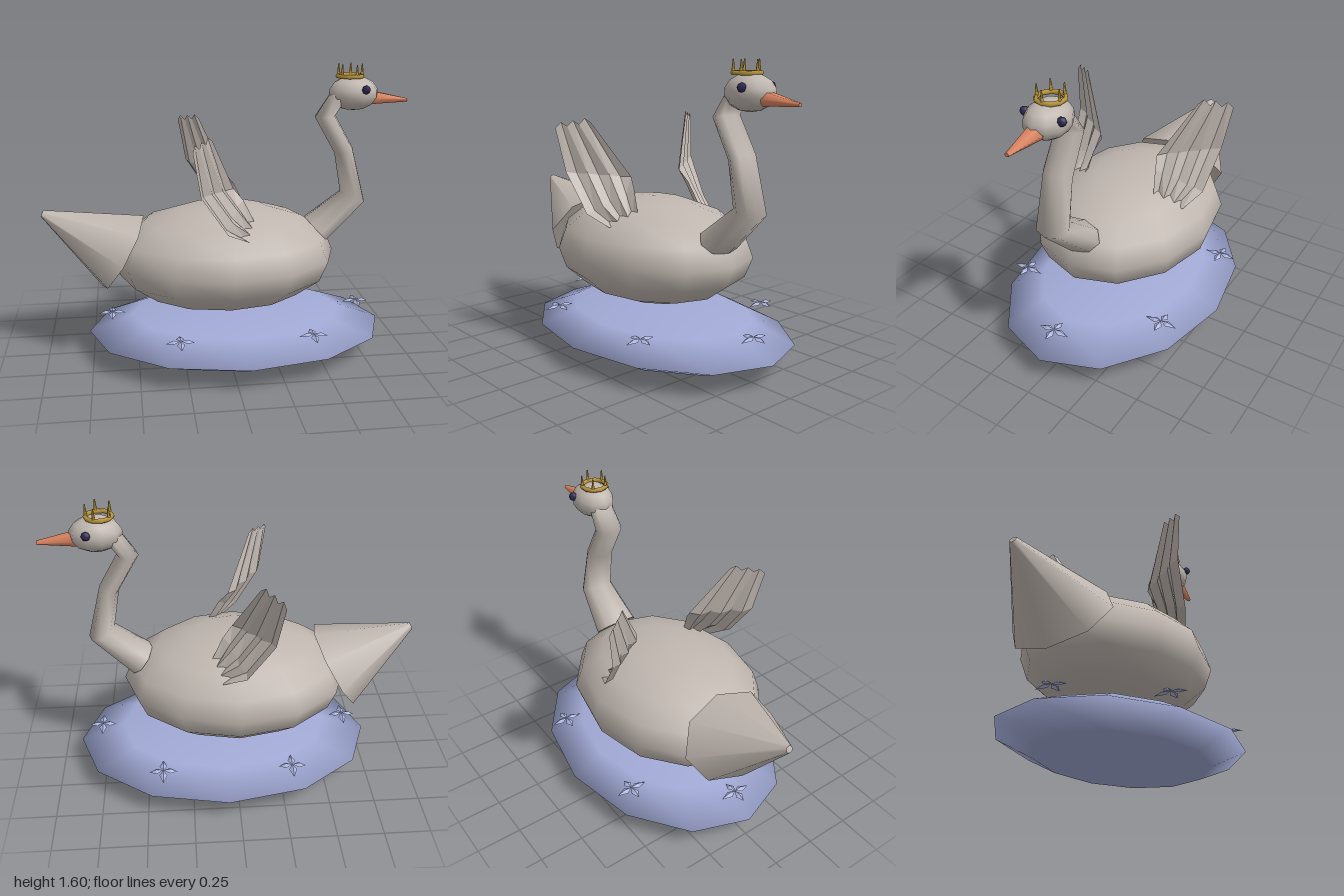
import * as THREE from 'three';

const mat = (name, color, side = THREE.FrontSide) => {
  const m = new THREE.MeshStandardMaterial({ color, side });
  m.name = name;
  return m;
};

// Builds a geometry from points and triangle indices
function fromPoints(points, index, flat = false) {
  let g = new THREE.BufferGeometry();
  g.setAttribute('position', new THREE.Float32BufferAttribute(points.flat(), 3));
  g.setIndex(index);
  if (flat) g = g.toNonIndexed();
  g.computeVertexNormals();
  return g;
}

// Capped loft; each section is [left x, left y, right x, right y, half depth],
// left and right as seen along the direction of travel
function loft(sections, n, phase = 0) {
  const pts = [], idx = [];
  const ring = ([px, py, qx, qy, r]) => {
    for (let j = 0; j < n; j++) {
      const a = phase + (j / n) * Math.PI * 2, c = Math.cos(a) / 2;
      pts.push([(px + qx) / 2 + (px - qx) * c, (py + qy) / 2 + (py - qy) * c, r * Math.sin(a)]);
    }
  };
  sections.forEach(ring);
  for (let i = 0; i < sections.length - 1; i++) {
    for (let j = 0; j < n; j++) {
      const a = i * n + j, b = i * n + (j + 1) % n;
      idx.push(a, b, a + n, b, b + n, a + n);
    }
  }
  // End caps with their own corners for crisp rims
  [sections[0], sections[sections.length - 1]].forEach((s, end) => {
    const o = pts.length;
    ring(s);
    for (let j = 1; j < n - 1; j++) {
      if (end) idx.push(o, o + j, o + j + 1);
      else idx.push(o, o + j + 1, o + j);
    }
  });
  return fromPoints(pts, idx);
}

// Pleated feather sheet between a leading and a trailing edge
function wingGeometry(side) {
  const rows = [
    [[0.13, 0.80, 0.22], [0.08, 0.74, 0.37], 0.03],
    [[0.07, 0.92, 0.195], [-0.04, 0.80, 0.425], 0.025],
    [[0.02, 0.98, 0.175], [-0.18, 1.01, 0.455], 0.02],
    [[-0.11, 1.27, 0.34], [-0.22, 1.24, 0.49], 0.008],
  ];
  const fold = [-0.79, -0.27, -0.55], cols = 6, pts = [], idx = [];
  rows.forEach(([a, b, depth], i) => {
    for (let j = 0; j <= cols; j++) {
      const t = j / cols, k = j % 2 ? depth : 0;
      const p = a.map((v, c) => v + (b[c] - v) * t + fold[c] * k);
      if (i === rows.length - 1 && j % 2) p[1] += 0.028;
      p[2] *= side;
      pts.push(p);
      if (i && j) {
        const d = i * (cols + 1) + j, u = d - cols - 1;
        idx.push(u - 1, u, d - 1, u, d, d - 1);
      }
    }
  });
  return fromPoints(pts, idx, true);
}

// Four folded diamond petals
function flowerGeometry() {
  const pts = [], idx = [];
  for (let k = 0; k < 4; k++) {
    const a = k * Math.PI / 2, c = Math.cos(a), s = Math.sin(a), o = pts.length;
    const len = k % 2 ? 0.09 : 0.075;
    for (const [u, w, y] of [[0, 0, 0], [0.035, 0.021, -0.006], [0.04, 0, 0.006], [0.035, -0.021, -0.006], [len, 0, -0.012]]) {
      pts.push([u * c - w * s, y, u * s + w * c]);
    }
    idx.push(o, o + 1, o + 2, o, o + 2, o + 3, o + 1, o + 4, o + 2, o + 2, o + 4, o + 3);
  }
  return fromPoints(pts, idx, true);
}

export function createModel() {
  const model = new THREE.Group();
  model.name = 'crownedSwanOnCushion';
  const plumage = mat('plumage', 0xbfb6af);
  const feather = mat('wingFeather', 0xbfb6af, THREE.DoubleSide);
  const cushionBlue = mat('cushionBlue', 0xa2aad6);
  const flowerBlue = mat('flowerBlue', 0xa9b1da, THREE.DoubleSide);
  const orange = mat('beakOrange', 0xd98360);
  const gold = mat('gold', 0xb8953c);
  const eyeDark = mat('eyeDark', 0x2f2850);

  const add = (name, geometry, material, x = 0, y = 0, z = 0, parent = model) => {
    const m = new THREE.Mesh(geometry, material);
    m.name = name;
    m.position.set(x, y, z);
    parent.add(m);
    return m;
  };
  const ellipsoid = (w, h, rx, ry, rz) => new THREE.SphereGeometry(1, w, h).scale(rx, ry, rz);

  // Cushion with a ring of six flowers
  add('cushion', ellipsoid(12, 4, 0.83, 0.13, 0.6), cushionBlue, 0.06, 0.135);
  const flower = flowerGeometry();
  for (let i = 0; i < 6; i++) {
    const a = i * Math.PI / 3;
    add('cushionFlower', flower, flowerBlue, 0.06 + 0.7 * Math.cos(a), 0.247, 0.51 * Math.sin(a));
  }

  // Body, tail and neck
  add('body', ellipsoid(12, 8, 0.62, 0.29, 0.48), plumage, -0.01, 0.565);
  add('tail', loft([[-0.69, 0.405, -0.45, 0.80, 0.29], [-1, 0.815, -0.985, 0.85, 0.02]], 8), plumage);
  add('neck', loft([
    [0.45, 0.755, 0.57, 0.63, 0.13],
    [0.645, 0.90, 0.785, 0.845, 0.095],
    [0.605, 1.12, 0.705, 1.15, 0.085],
    [0.49, 1.32, 0.60, 1.335, 0.08],
    [0.575, 1.455, 0.645, 1.395, 0.07],
  ], 8), plumage);

  // Head and beak
  add('head', ellipsoid(10, 7, 0.138, 0.093, 0.11), plumage, 0.698, 1.448);
  add('beak', loft([[0.79, 1.465, 0.78, 1.383, 0.056], [1, 1.415, 1, 1.395, 0.012]], 6, Math.PI / 6), orange);

  // Wings and eyes on both sides
  for (const side of [1, -1]) {
    add(side > 0 ? 'rightWing' : 'leftWing', wingGeometry(side), feather);
    add('eye', new THREE.SphereGeometry(0.024, 6, 4), eyeDark, 0.738, 1.476, side * 0.103);
  }

  // Crown
  const crown = new THREE.Group();
  crown.name = 'crown';
  crown.position.set(0.675, 1.54, 0);
  model.add(crown);
  add('crownBand', new THREE.TorusGeometry(0.068, 0.012, 6, 10).rotateX(Math.PI / 2), gold, 0, 0, 0, crown);
  for (let i = 0; i < 5; i++) {
    const a = i * Math.PI * 2 / 5;
    add('crownSpike', new THREE.CylinderGeometry(0.003, 0.01, 0.062, 5), gold,
      0.066 * Math.cos(a), 0.033, 0.066 * Math.sin(a), crown);
  }
  return model;
}
